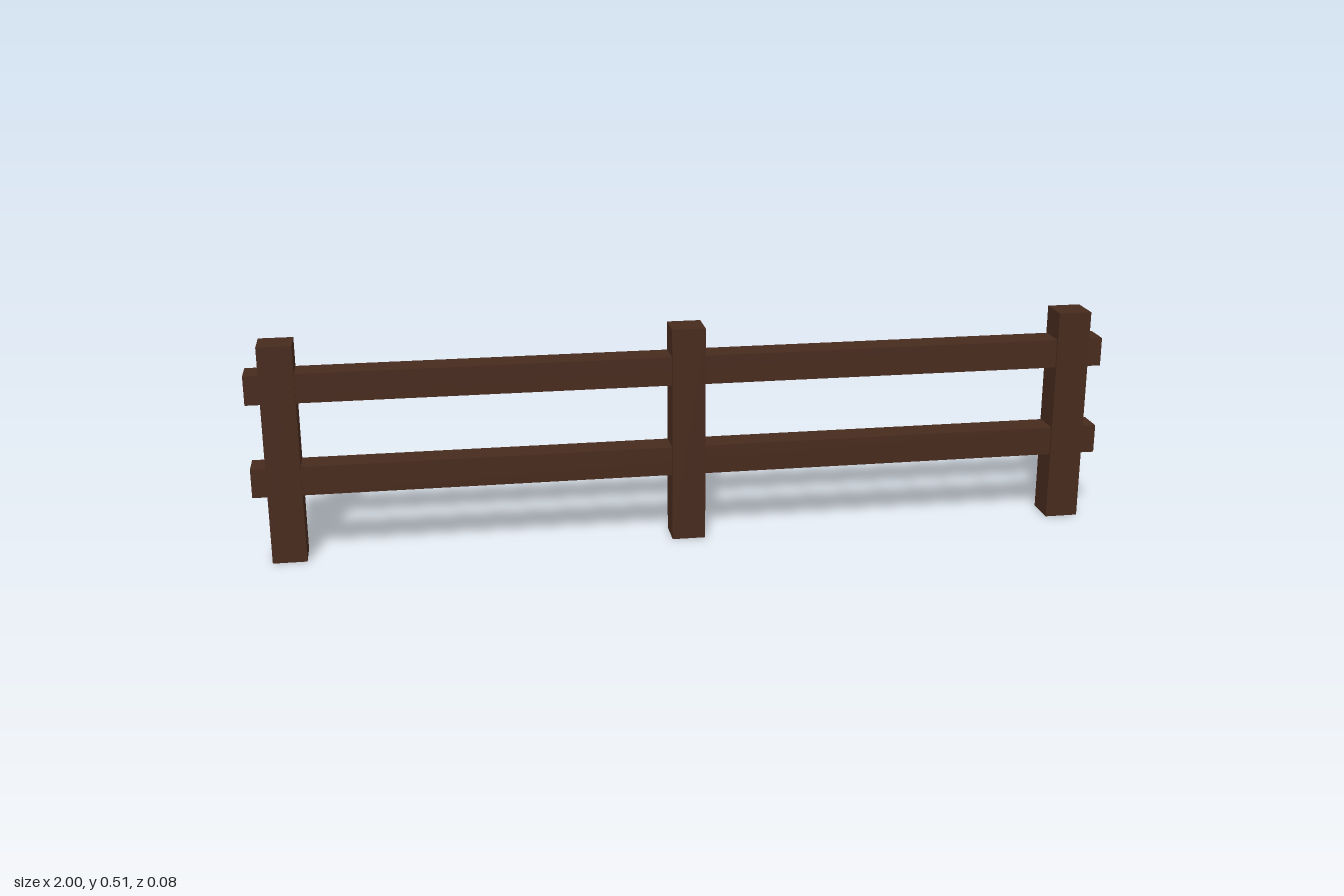
import * as THREE from 'three';

export function createModel() {
  const fence = new THREE.Group();
  fence.name = 'fence';
  const wood = new THREE.MeshStandardMaterial({ color: 0x472a1d, flatShading: true });

  const beam = (name, w, h, d, x, y) => {
    const mesh = new THREE.Mesh(new THREE.BoxGeometry(w, h, d), wood);
    mesh.name = name;
    mesh.position.set(x, y, 0);
    fence.add(mesh);
  };

  // Three square upright posts
  const postHeight = 0.513;
  const posts = { rightPost: -0.927, middlePost: 0, leftPost: 0.927 };
  for (const [name, x] of Object.entries(posts)) {
    beam(name, 0.078, postHeight, 0.078, x, postHeight / 2);
  }

  // Two rails running through the posts and out past the ends
  const rails = { lowerRail: 0.194, upperRail: 0.413 };
  for (const [name, y] of Object.entries(rails)) {
    beam(name, 2, 0.068, 0.067, 0, y);
  }

  return fence;
}
